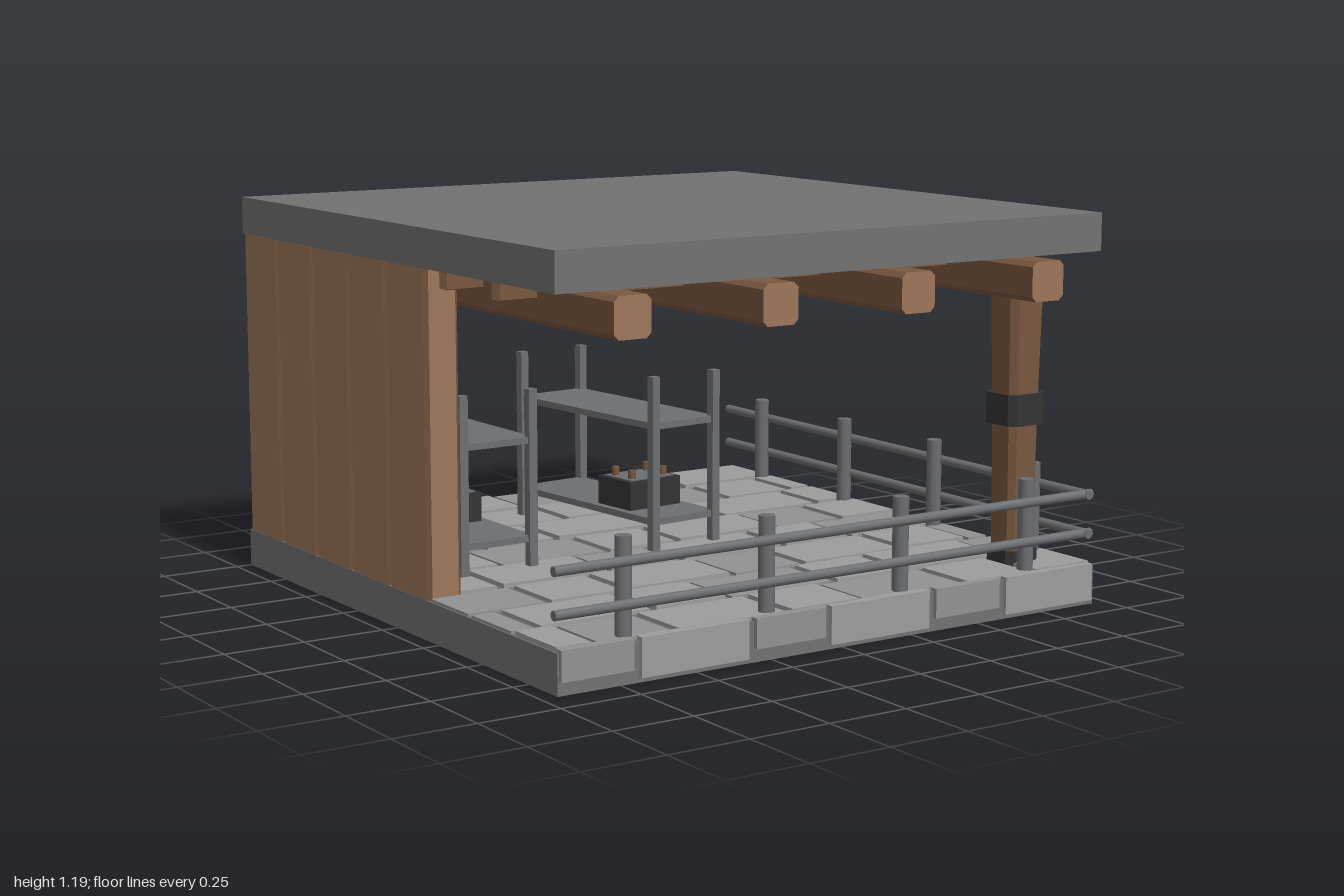
import * as THREE from 'three';

const mat = (name, color, extra = {}) => Object.assign(new THREE.MeshStandardMaterial({ color, ...extra }), { name });
const concrete = mat('concrete', 0x727272);
const stoneLight = mat('lightStone', 0x9d9d9d);
const stoneMid = mat('midStone', 0x929292);
const woodLight = mat('lightWood', 0x9c7658);
const woodDark = mat('darkWood', 0x79583f);
const steel = mat('steel', 0x6c6f72);
const black = mat('blackIron', 0x343434);
const shadeGrey = mat('lampGrey', 0x9a9a9a, { side: THREE.DoubleSide });

function put(parent, name, geometry, material, x = 0, y = 0, z = 0) {
  const mesh = new THREE.Mesh(geometry, material);
  mesh.name = name;
  mesh.position.set(x, y, z);
  parent.add(mesh);
  return mesh;
}

const box = (w, h, d) => new THREE.BoxGeometry(w, h, d);

// Box from its min and max corners
function span(parent, name, material, x0, x1, y0, y1, z0, z1) {
  return put(parent, name, box(x1 - x0, y1 - y0, z1 - z0), material, (x0 + x1) / 2, (y0 + y1) / 2, (z0 + z1) / 2);
}

// Rectangular bar with cut corners, centred, running along z
function chamferedBar(w, h, length, c, steps = 1) {
  const a = w / 2, b = h / 2;
  const shape = new THREE.Shape([
    [a, -b + c], [a, b - c], [a - c, b], [-a + c, b], [-a, b - c], [-a, -b + c], [-a + c, -b], [a - c, -b],
  ].map(([x, y]) => new THREE.Vector2(x, y)));
  return new THREE.ExtrudeGeometry(shape, { depth: length, bevelEnabled: false, steps }).translate(0, 0, -length / 2);
}

// Upright wall plank whose cut corners use the second material
function plankGeometry(w, h, d, c) {
  const g = chamferedBar(w, d, h, c).rotateX(-Math.PI / 2);
  const n = g.attributes.normal;
  g.clearGroups();
  for (let i = 0; i < n.count; i += 3) {
    g.addGroup(i, 3, Math.abs(n.getX(i)) > 0.3 && Math.abs(n.getZ(i)) > 0.3 ? 1 : 0);
  }
  return g;
}

// Corner post, flared towards the top
function postGeometry(y0, y1) {
  const g = chamferedBar(1, 1, y1 - y0, 0.16, 8).rotateX(-Math.PI / 2).translate(0, (y0 + y1) / 2, 0);
  const p = g.attributes.position;
  for (let i = 0; i < p.count; i++) {
    const y = p.getY(i);
    const t = (y - y0) / (y1 - y0);
    const width = 0.106 + 0.03 * t * t;
    p.setXYZ(i, p.getX(i) * width, y, p.getZ(i) * width);
  }
  g.computeVertexNormals();
  return g;
}

// Crate with a lid panel and four bottle necks
function addCrate(parent, x, y, z) {
  const crate = new THREE.Group();
  crate.name = 'crate';
  crate.position.set(x, y, z);
  put(crate, 'crateBody', box(0.2, 0.09, 0.165), black, 0, 0.045, 0);
  put(crate, 'crateLid', box(0.17, 0.004, 0.135), steel, 0, 0.091, 0);
  for (const sx of [-1, 1]) for (const sz of [-1, 1]) {
    put(crate, 'bottleNeck', new THREE.CylinderGeometry(0.012, 0.012, 0.03, 8), woodDark, sx * 0.062, 0.105, sz * 0.042);
  }
  parent.add(crate);
}

// Two-shelf rack on four legs
function makeRack(x, z, turn, crates) {
  const rack = new THREE.Group();
  rack.name = 'rack';
  rack.position.set(x, 0, z);
  rack.rotation.y = turn;
  for (const sx of [-1, 1]) for (const sz of [-1, 1]) {
    put(rack, 'rackLeg', box(0.028, 0.55, 0.028), steel, sx * 0.119, 0.395, sz * 0.344);
  }
  for (const y of [0.215, 0.515]) put(rack, 'shelf', box(0.25, 0.02, 0.7), steel, 0, y, 0);
  for (const c of crates) addCrate(rack, ...c);
  return rack;
}

export function createModel() {
  const model = new THREE.Group();
  model.name = 'pavilion';

  // Slabs
  span(model, 'baseSlab', concrete, -0.95, 0.95, 0, 0.118, -1, 0.9);
  span(model, 'roofSlab', concrete, -0.95, 0.95, 1.075, 1.19, -1, 0.9);

  // Floor paving: staggered rows of long and short stones
  const rows = 8, depth = 1.9 / rows, gap = 0.024;
  for (let r = 0; r < rows; r++) {
    const z0 = -1 + r * depth;
    let x = -0.95 - [0, 0.36, 0.16, 0.5][r % 4];
    for (let i = 0; x < 0.93; i++) {
      const w = i % 2 ? 0.38 : 0.26;
      const x0 = Math.max(x, -0.945), x1 = Math.min(x + w - gap, 0.94);
      if (x1 - x0 > 0.03) {
        span(model, 'pavingStone', (i + r) % 3 ? stoneLight : stoneMid, x0, x1, 0.115,
          0.126 + 0.003 * ((i + r) % 3), z0 + gap / 2, z0 + depth - gap / 2);
      }
      x += w;
    }
  }

  // Facing stones on the front edge
  [[-0.945, -0.715], [-0.69, -0.335], [-0.31, -0.07], [-0.05, 0.305], [0.33, 0.57], [0.595, 0.935]].forEach(([a, b], i) =>
    span(model, 'facingStone', i % 2 ? stoneLight : stoneMid, a, b, i % 2 ? 0.015 : 0.04, 0.128, 0.88, 0.913));

  // Side wall planks
  const plank = plankGeometry(0.11, 0.957, 0.237, 0.012);
  for (let i = 0; i < 5; i++) put(model, 'wallPlank', plank, [woodLight, woodDark], -0.894, 0.5965, 0.076 - i * 0.2385);

  // Main roof beams
  const beam = chamferedBar(0.117, 0.117, 1.88, 0.015);
  for (const x of [-0.774, -0.298, 0.176, 0.654]) put(model, 'roofBeam', beam, [woodLight, woodDark], x, 1.014, 0.06);

  // Cross battens
  const batten = chamferedBar(0.045, 0.048, 1.896, 0.002).rotateY(Math.PI / 2);
  for (let i = 0; i < 6; i++) put(model, 'roofBatten', batten, [woodLight, woodDark], 0, 1.051, 0.592 - i * 0.29);

  // Corner post with iron collars
  const px = 0.775, pz = 0.728;
  put(model, 'cornerPost', postGeometry(0.118, 1.075), woodDark, px, 0, pz);
  for (const [name, w, y0, y1] of [['baseCollar', 0.125, 0.118, 0.166], ['middleCollar', 0.14, 0.55, 0.645], ['topCollar', 0.16, 1.028, 1.076]]) {
    put(model, name, chamferedBar(w, w, y1 - y0, 0.02).rotateX(Math.PI / 2), black, px, (y0 + y1) / 2, pz);
  }

  // Railings on the front and right edges
  const railPost = new THREE.CylinderGeometry(0.024, 0.024, 0.287, 8);
  const rail = new THREE.CylinderGeometry(0.015, 0.015, 1.9, 8);
  for (let i = 0; i < 4; i++) {
    put(model, 'frontRailPost', railPost, steel, -0.716 + i * 0.476, 0.2615, 0.86);
    put(model, 'sideRailPost', railPost, steel, 0.905, 0.2615, 0.668 - i * 0.476);
  }
  for (const y of [0.217, 0.337]) {
    put(model, 'frontRail', rail, steel, 0, y, 0.882).rotation.z = Math.PI / 2;
    put(model, 'sideRail', rail, steel, 0.93, y, -0.05).rotation.x = Math.PI / 2;
  }

  // Racks
  model.add(makeRack(-0.619, -0.335, 0.015, [[0, 0.525, -0.168], [0, 0.225, 0]]));
  model.add(makeRack(0.025, -0.335, 0.09, [[0, 0.225, 0.12]]));

  // Hanging lamp
  const lamp = new THREE.Group();
  lamp.name = 'hangingLamp';
  lamp.position.set(0, 0, -0.045);
  put(lamp, 'lampCord', new THREE.CylinderGeometry(0.008, 0.008, 0.11, 8), steel, 0, 1.02, 0);
  put(lamp, 'lampShade', new THREE.CylinderGeometry(0.014, 0.116, 0.056, 12, 1, true), shadeGrey, 0, 0.948, 0);
  put(lamp, 'lampBulb', new THREE.LatheGeometry(
    [[0, 0.894], [0.012, 0.899], [0.022, 0.918], [0.012, 0.945], [0, 0.95]].map(([x, y]) => new THREE.Vector2(x, y)), 10), woodDark);
  model.add(lamp);

  return model;
}
